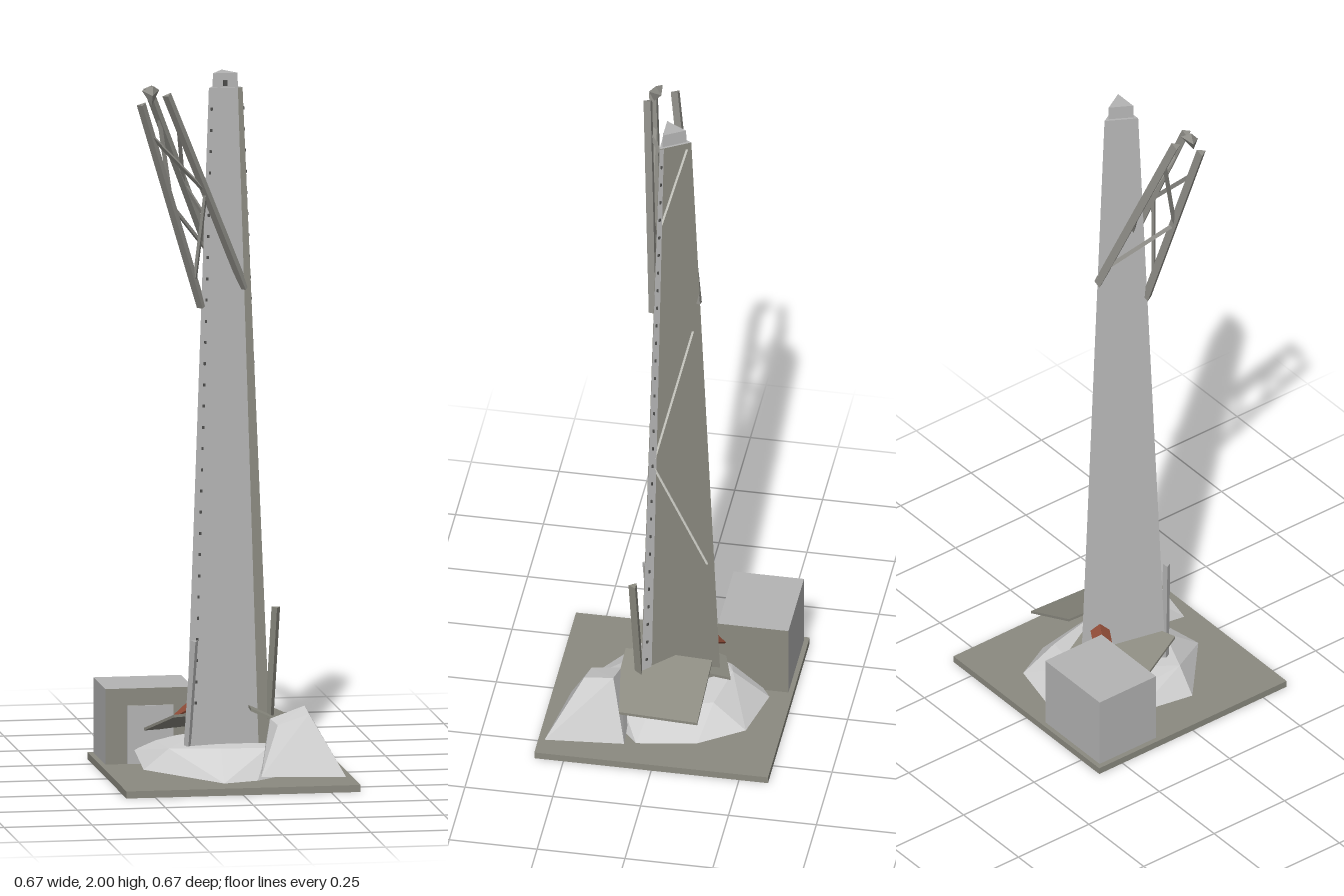
import * as THREE from 'three';
import { ConvexGeometry } from 'three/addons/geometries/ConvexGeometry.js';

const V = (x, y, z) => new THREE.Vector3(x, y, z);

export function createModel() {
  const mat = (name, color, side = THREE.FrontSide) => {
    const m = new THREE.MeshStandardMaterial({ color, flatShading: true, side });
    m.name = name;
    return m;
  };
  const gray = mat('concreteGray', 0xb4b4b4);
  const olive = mat('weatheredOlive', 0x8b8a80);
  const pale = mat('paleRubble', 0xcfcfcf);
  const steel = mat('steel', 0x8f8e88);
  const rust = mat('rust', 0x8c4a36);
  const white = mat('whiteBrace', 0xdcdcd4);
  const dark = mat('darkBolt', 0x4c4c4a);

  const group = new THREE.Group();
  const add = (name, geo, material, x = 0, y = 0, z = 0) => {
    const m = new THREE.Mesh(geo, material);
    m.name = name;
    m.position.set(x, y, z);
    group.add(m);
    return m;
  };
  const box = (name, w, h, d, material, x, y, z) =>
    add(name, new THREE.BoxGeometry(w, h, d), material, x, y, z);
  const hull = (name, pts, material) =>
    add(name, new ConvexGeometry(pts.map(p => V(...p))), material);
  // Straight bar between two points, with a chosen number of sides
  const bar = (name, a, b, r, material, sides = 4) => {
    const d = b.clone().sub(a);
    const m = add(name, new THREE.CylinderGeometry(r, r, d.length(), sides), material);
    m.position.copy(a).lerp(b, 0.5);
    m.quaternion.setFromUnitVectors(V(0, 1, 0), d.normalize());
    return m;
  };
  // Four corners, counterclockwise from outside
  const quad = (name, a, b, c, d, material) => {
    const g = new THREE.BufferGeometry().setFromPoints([a, b, c, a, c, d]);
    g.computeVertexNormals();
    return add(name, g, material);
  };

  // Ground plate
  box('basePlate', 0.665, 0.02, 0.665, olive, 0, 0.01, 0);

  // Equipment hut: right, left, top, bottom, front, back
  box('hut', 0.248, 0.215, 0.2, [olive, gray, gray, olive, olive, gray], -0.193, 0.127, -0.219);
  box('hutDoor', 0.13, 0.165, 0.006, gray, -0.19, 0.103, -0.117);

  // Tapered three-sided mast
  const radius = y => 0.138 - (y - 0.1) * 0.0446;
  const corner = (i, y) => {
    const a = [-Math.PI / 3, Math.PI / 3, Math.PI][i % 3];
    return V(Math.sin(a) * radius(y), y, Math.cos(a) * radius(y));
  };
  const onFace = (i, t, y, off = 0) => {
    const a = i * Math.PI * 2 / 3;
    return corner(i, y).lerp(corner(i + 1, y), t).add(V(Math.sin(a) * off, 0, Math.cos(a) * off));
  };
  const strip = (name, i, t0, t1, y0, y1, off, material) => quad(name,
    onFace(i, t0, y0, off), onFace(i, t1, y0, off),
    onFace(i, t1, y1, off), onFace(i, t0, y1, off), material);
  const faceMats = [gray, olive, gray];
  ['mastFront', 'mastBackRight', 'mastBackLeft'].forEach((n, i) =>
    strip(n, i, 0, 1, 0.03, 1.96, 0, faceMats[i]));
  quad('mastTop', corner(0, 1.96), corner(1, 1.96), corner(2, 1.96), corner(2, 1.96), gray);
  strip('frontLegFlange', 0, 0.86, 1, 0.1, 1.96, 0.003, olive);
  strip('sideLegFlange', 1, 0, 0.13, 0.1, 1.96, 0.003, gray);

  // Mast cap
  const capPts = [];
  for (const [y, s] of [[1.9, 0.044], [2, 0.04]])
    capPts.push([-s * 0.87, y, s * 0.5], [s * 0.87, y, s * 0.5], [0, y, -s]);
  hull('mastCap', capPts, gray);
  box('capBolt', 0.012, 0.016, 0.006, dark, 0, 1.972, 0.022);

  // Painted zigzag braces on the back right face
  for (const [t0, y0, t1, y1] of [[0.85, 1.94, 0.12, 1.7], [0.82, 1.31, 0.1, 0.9], [0.1, 0.87, 0.9, 0.5]])
    bar('diagonalBrace', onFace(1, t0, y0), onFace(1, t1, y1), 0.004, white);

  // Bolt heads down the front edges
  for (let y = 0.22; y < 1.94; y += 0.06) {
    const p = onFace(0, 0.1, y, 0.002), q = onFace(1, 0.06, y, 0.005);
    box('boltHead', 0.006, 0.008, 0.004, dark, p.x, p.y, p.z);
    box('boltHead', 0.005, 0.008, 0.005, dark, q.x, q.y, q.z);
  }

  // Broken lattice section leaning away from the mast
  const chords = [
    [V(-0.07, 1.34, 0.042), V(-0.25, 1.93, 0.095)],
    [V(0.052, 1.39, 0.042), V(-0.178, 1.955, 0.098)],
    [V(0, 1.4, -0.075), V(-0.22, 1.965, 0.028)],
  ];
  chords.forEach(([a, b]) => bar('brokenChord', a, b, 0.015, steel, 3));
  chords.forEach(([a, b], i) => {
    const [c, d] = chords[(i + 1) % 3];
    for (const [s, e] of [[0.12, 0.5], [0.85, 0.5]])
      bar('brokenBrace', a.clone().lerp(b, s), c.clone().lerp(d, e), 0.007, steel, 3);
  });
  hull('brokenTip', [[-0.245, 1.965, 0.07], [-0.195, 1.965, 0.065], [-0.22, 1.925, 0.09],
    [-0.215, 1.98, 0.085], [-0.22, 1.955, 0.105]], steel);

  // Snapped leg stubs beside the foot
  bar('legStub', V(0.118, 0.17, 0.07), V(0.134, 0.49, 0.086), 0.014, olive, 3);
  bar('legStub', V(-0.115, 0.1, 0.072), V(-0.098, 0.4, 0.09), 0.012, gray, 3);

  // Low rubble mound around the foot
  hull('rubbleMound', [
    [-0.04, 0.02, -0.27], [0.14, 0.03, -0.235], [0.21, 0.02, -0.11], [0.24, 0.02, 0.06],
    [0.06, 0.02, 0.215], [-0.04, 0.02, 0.247], [-0.24, 0.035, 0.07], [-0.235, 0.06, -0.12],
    [-0.03, 0.1, 0.135], [0.1, 0.1, 0.14], [-0.17, 0.095, 0.08], [-0.18, 0.09, -0.09],
    [-0.02, 0.11, -0.17], [0.12, 0.1, -0.14], [0.16, 0.1, 0.03],
  ], pale);

  // Large broken block at the front
  hull('rubbleBlock', [
    [0.06, 0.04, 0.275], [0.295, 0.04, 0.31], [0.275, 0.04, 0.087], [0.09, 0.04, 0.1],
    [0.118, 0.175, 0.208], [0.206, 0.205, 0.213], [0.207, 0.215, 0.13], [0.11, 0.18, 0.125],
  ], pale);

  // Fallen flat slabs
  const slab = (name, pts) => hull(name,
    [...pts, ...pts.map(([x, y, z]) => [x, y - 0.008, z])], olive);
  slab('leftSlab', [[-0.21, 0.125, -0.1], [0.03, 0.125, -0.172], [0.085, 0.19, 0.0], [-0.155, 0.19, 0.075]]);
  slab('rightSlab', [[0.07, 0.21, -0.127], [0.255, 0.125, -0.117], [0.243, 0.125, 0.108], [0.155, 0.165, 0.128], [0.056, 0.21, 0.122]]);

  // Rusted angle beam, two flanges
  const beam = new THREE.Group();
  beam.name = 'rustedBeam';
  for (const s of [-1, 1]) {
    const f = new THREE.Mesh(new THREE.BoxGeometry(0.15, 0.006, 0.032), rust);
    f.name = 'beamFlange';
    f.position.set(0, 0, s * 0.012);
    f.rotation.x = s * 0.6;
    beam.add(f);
  }
  beam.position.set(-0.066, 0.19, -0.11);
  beam.rotation.set(0, -0.45, 0.55);
  group.add(beam);

  return group;
}
